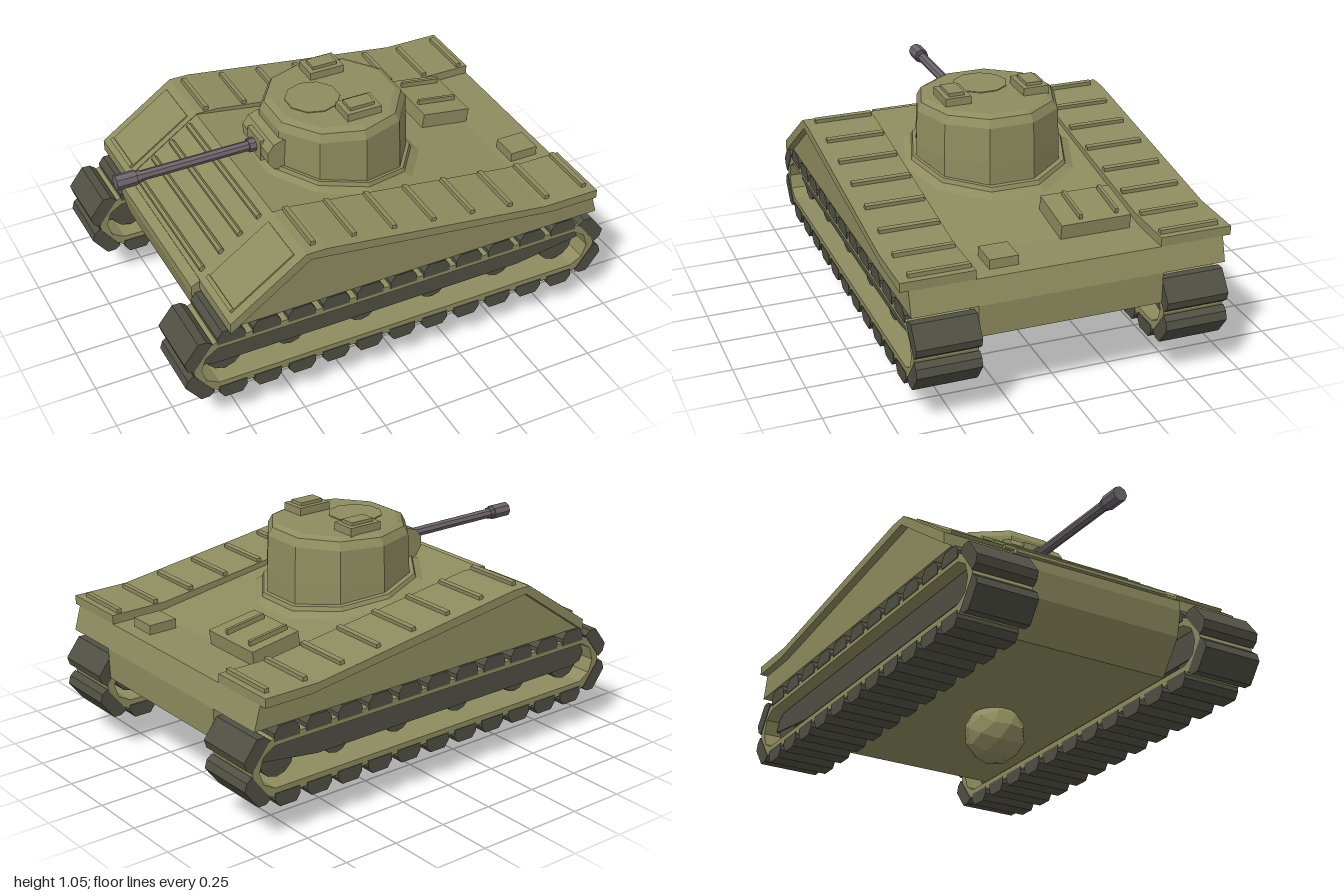
import * as THREE from 'three';

const mat = (name, color) => {
  const m = new THREE.MeshStandardMaterial({ color });
  m.name = name;
  return m;
};

export function createModel() {
  const root = new THREE.Group();
  root.name = 'tank';
  const olive = mat('olive armour', 0x8e8c5f);
  const dark = mat('dark running gear', 0x505044);
  const steel = mat('gun steel', 0x6c656a);

  // Faceted mesh helper
  const add = (name, geometry, material, x = 0, y = 0, z = 0, rz = 0, parent = root) => {
    const g = geometry.index ? geometry.toNonIndexed() : geometry;
    g.computeVertexNormals();
    const mesh = new THREE.Mesh(g, material);
    mesh.name = name;
    mesh.position.set(x, y, z);
    mesh.rotation.z = rz;
    parent.add(mesh);
    return mesh;
  };
  const box = (w, h, d) => new THREE.BoxGeometry(w, h, d);
  const toShape = (pts) => new THREE.Shape(pts.map(([x, y]) => new THREE.Vector2(x, y)));
  // Side profile in x,y pushed from z0 to z1
  const extrude = (shape, z0, z1) =>
    new THREE.ExtrudeGeometry(shape, { depth: z1 - z0, bevelEnabled: false }).translate(0, 0, z0);
  const rod = (r, len, sides) => new THREE.CylinderGeometry(r, r, len, sides);

  // Upper hull, slightly narrower than the fenders
  add('upperHull', extrude(toShape([
    [-0.805, 0.5], [0.95, 0.5], [0.92, 0.605], [0.7, 0.605], [-0.47, 0.784], [-0.805, 0.55],
  ]), -0.68, 0.68), olive);

  // Lower hull between the tracks, with the nose
  add('lowerHull', extrude(toShape([
    [-0.71, 0.225], [0.72, 0.225], [0.945, 0.36], [0.95, 0.5], [0.9, 0.54], [-0.8, 0.55],
    [-0.845, 0.525], [-0.845, 0.48], [-0.82, 0.37],
  ]), -0.4, 0.4), olive);

  // Belly ball
  add('bellyBall', new THREE.IcosahedronGeometry(0.135, 1), olive, 0, 0.138, 0.01);

  // Overhanging fenders with ribs and front panels
  const slope = -0.134;
  const glacis = 0.605;
  const glacisY = (x) => 0.55 + (x + 0.81) * 0.691;
  const fenderY = (x) => (x > 0.66 ? 0.645 : 0.645 + (0.66 - x) * 0.1346);
  const fenderShape = toShape([
    [-0.808, 0.502], [-0.45, 0.755], [0.7, 0.605], [0.92, 0.605], [0.92, 0.645], [0.66, 0.645],
    [-0.38, 0.787], [-0.47, 0.787], [-0.808, 0.552],
  ]);
  for (const s of [-1, 1]) {
    add('fender', extrude(fenderShape, s > 0 ? 0.4 : -0.715, s > 0 ? 0.715 : -0.4), olive);
    for (let i = 0; i < 8; i++) {
      const x = -0.42 + i * 0.1857;
      const y = i === 0 ? 0.788 : fenderY(x);
      add('fenderRib', box(0.022, 0.036, 0.26), olive, x, y, s * 0.54, x > 0.66 ? 0 : slope);
    }
    add('frontPanel', box(0.34, 0.016, 0.24), olive, -0.64, glacisY(-0.64), s * 0.55, glacis);
    add('panelRidge', box(0.018, 0.03, 0.24), olive, -0.775, glacisY(-0.775), s * 0.55, glacis);
  }

  // Bars across the sloped front plate
  for (let i = 0; i < 4; i++) {
    const x = -0.78 + i * 0.087;
    add('frontBar', rod(0.014, 0.74, 6).rotateX(Math.PI / 2), olive, x, glacisY(x) + 0.006, 0);
  }

  // Rear deck boxes
  add('engineHatch', box(0.235, 0.1, 0.31), olive, 0.6, 0.638, -0.2, -0.15);
  for (const z of [-0.3, -0.14])
    add('hatchRail', box(0.19, 0.03, 0.014), olive, 0.605, 0.695, z, -0.15);
  add('deckBox', box(0.13, 0.05, 0.125), olive, 0.795, 0.622, 0.26);

  // Running gear, mirrored
  const band = toShape([
    [-0.86, 0.19], [0.86, 0.19], [0.935, 0.235], [0.96, 0.317], [0.935, 0.4], [0.86, 0.445],
    [-0.86, 0.445], [-0.935, 0.4], [-0.96, 0.317], [-0.935, 0.235],
  ]);
  band.holes.push(new THREE.Path([
    [-0.85, 0.228], [-0.905, 0.258], [-0.925, 0.317], [-0.905, 0.378], [-0.85, 0.412],
    [0.85, 0.412], [0.905, 0.378], [0.925, 0.317], [0.905, 0.258], [0.85, 0.228],
  ].map(([x, y]) => new THREE.Vector2(x, y))));
  const padShape = (half) => toShape([
    [-half, -0.012], [half, -0.012], [half, 0.02], [half - 0.022, 0.05], [0.022 - half, 0.05], [-half, 0.02],
  ]);
  const plate = toShape([
    [-0.85, 0.285], [0.6, 0.285], [0.91, 0.33], [0.89, 0.375], [0.85, 0.405],
    [-0.85, 0.405], [-0.9, 0.38], [-0.92, 0.34], [-0.9, 0.3],
  ]);
  for (const s of [-1, 1]) {
    const track = new THREE.Group();
    track.name = s > 0 ? 'leftTrack' : 'rightTrack';
    track.position.z = s * 0.54;
    root.add(track);
    add('trackBand', extrude(band, -0.135, 0.135), olive, 0, 0, 0, 0, track);
    add('suspensionPlate', extrude(plate, -0.08, 0.08), dark, 0, 0, 0, 0, track);
    const pad = (half, x, y, a) =>
      add('trackPad', extrude(padShape(half), -0.138, 0.138), dark, x, y, 0, a, track);
    for (let i = -5; i <= 5; i++) {
      pad(0.062, i * 0.158, 0.443, 0);
      pad(0.062, i * 0.158, 0.192, Math.PI);
    }
    for (const e of [-1, 1]) {
      pad(0.075, e * 0.928, 0.392, -e * 0.92);
      pad(0.075, e * 0.928, 0.243, -e * (Math.PI - 0.92));
    }
    for (const x of [-0.8, -0.5, -0.165, 0.175, 0.5, 0.8]) {
      const end = Math.abs(x) > 0.7;
      add('roadWheel', rod(end ? 0.085 : 0.07, 0.15, 12).rotateX(Math.PI / 2), dark,
        x, 0.325, 0, 0, track);
    }
  }

  // Turret ring, sheared to follow the sloping deck
  const lathe = (pts, sides) => new THREE.LatheGeometry(pts.map(([r, y]) => new THREE.Vector2(r, y)), sides);
  const ring = lathe([[0, 0.6], [0.4, 0.6], [0.4, 0.705], [0.352, 0.73], [0.345, 0.748], [0, 0.748]], 10);
  const p = ring.attributes.position;
  for (let i = 0; i < p.count; i++) p.setY(i, p.getY(i) - 0.15 * p.getX(i));
  add('turretRing', ring, olive, 0, 0, 0.005);

  // Turret body with bevelled roof
  add('turret', lathe([
    [0, 0.64], [0.328, 0.64], [0.325, 0.8], [0.318, 0.955], [0.298, 0.99], [0.27, 1.003], [0, 1.003],
  ], 10), olive, 0, 0, 0.01);
  add('roofPlate', rod(0.12, 0.008, 10), olive, -0.095, 1.003, 0.005);
  for (const z of [-0.175, 0.18]) {
    add('roofHatch', box(0.16, 0.045, 0.115), olive, 0.037, 1.015, z);
    add('hatchLid', box(0.115, 0.03, 0.07), olive, 0.037, 1.037, z);
  }

  // Gun mount and barrel
  add('gunMount', rod(0.075, 0.26, 10).rotateX(Math.PI / 2), olive, -0.295, 0.85, 0.005);
  add('mountBlock', box(0.09, 0.1, 0.13), olive, -0.325, 0.847, 0);
  const gun = (name, r, x0, x1) =>
    add(name, rod(r, x1 - x0, 8).rotateZ(Math.PI / 2), steel, (x0 + x1) / 2, 0.845, 0);
  gun('barrel', 0.023, -0.93, -0.3);
  gun('barrelCollar', 0.031, -0.4, -0.34);
  gun('muzzle', 0.034, -1, -0.91);
  gun('muzzleRing', 0.028, -0.91, -0.89);
  return root;
}
